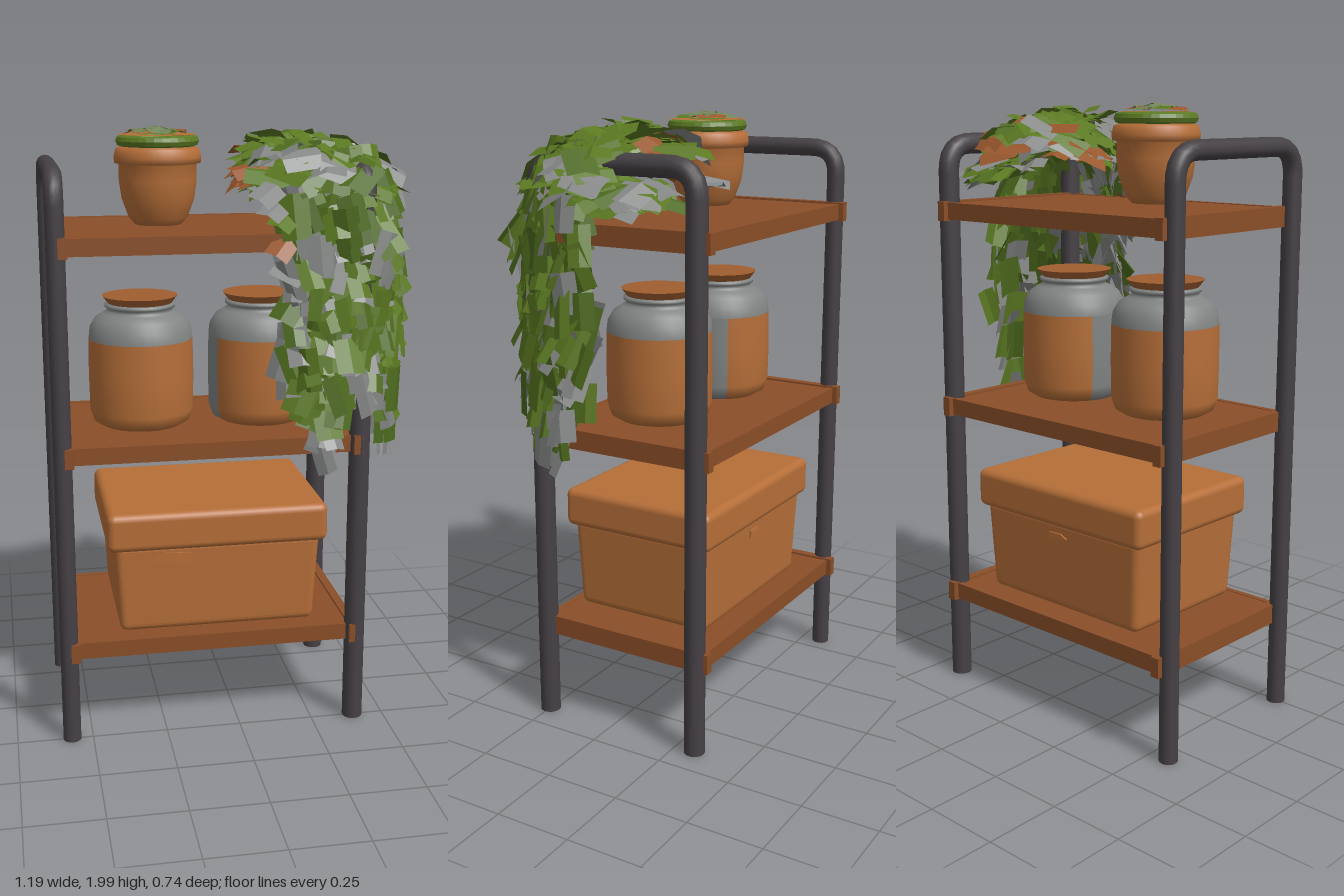
import * as THREE from 'three';
import { mergeGeometries } from 'three/addons/utils/BufferGeometryUtils.js';
import { RoundedBoxGeometry } from 'three/addons/geometries/RoundedBoxGeometry.js';

const V = (x, y, z) => new THREE.Vector3(x, y, z);
const material = (name, color, extra = {}) => {
  const m = new THREE.MeshStandardMaterial({ color, ...extra });
  m.name = name;
  return m;
};

export function createModel() {
  const root = new THREE.Group();
  root.name = 'plantShelf';
  const leafy = { flatShading: true, side: THREE.DoubleSide };
  const mat = {
    metal: material('dark metal', 0x454044),
    wood: material('brown wood', 0x8a4e28),
    clay: material('terracotta', 0xb56e38, { side: THREE.DoubleSide }),
    cork: material('jar lid brown', 0xa05e30),
    glass: material('grey glass', 0x808482, { side: THREE.DoubleSide }),
    green: material('leaf green', 0x5b7922, leafy),
    dark: material('deep green', 0x4d6a1e, leafy),
    grey: material('pale grey leaf', 0x858886, leafy),
    brown: material('dry leaf', 0x98572d, leafy),
    sage: material('sage green', 0x72865a, leafy),
  };
  const add = (name, geo, m, x = 0, y = 0, z = 0, parent = root) => {
    const mesh = new THREE.Mesh(geo, m);
    mesh.name = name;
    mesh.position.set(x, y, z);
    parent.add(mesh);
    return mesh;
  };
  const box = (name, w, h, d, m, x, y, z) => add(name, new THREE.BoxGeometry(w, h, d), m, x, y, z);
  const lathe = (pts, ...arc) => new THREE.LatheGeometry(pts.map(p => new THREE.Vector2(...p)), 32, ...arc);

  // Seeded random numbers
  let seed = 7;
  const rnd = () => (seed = (seed * 16807) % 2147483647) / 2147483647;
  const jit = (a) => (rnd() * 2 - 1) * a;

  // Bent tube frames at either end
  for (const [name, x, r] of [['leftFrame', -0.57, 0.03], ['rightFrame', 0.395, 0.034]]) {
    const f = 0.25, b = -0.32, top = 1.855, c = 0.09;
    const path = new THREE.CurvePath();
    path.add(new THREE.LineCurve3(V(x, 0, f), V(x, top - c, f)));
    path.add(new THREE.QuadraticBezierCurve3(V(x, top - c, f), V(x, top, f), V(x, top, f - c)));
    path.add(new THREE.LineCurve3(V(x, top, f - c), V(x, top, b + c)));
    path.add(new THREE.QuadraticBezierCurve3(V(x, top, b + c), V(x, top, b), V(x, top - c, b)));
    path.add(new THREE.LineCurve3(V(x, top - c, b), V(x, 0, b)));
    add(name, new THREE.TubeGeometry(path, 160, r, 14), mat.metal);
    for (const z of [f, b]) add('foot', new THREE.CylinderGeometry(r, r, 0.01, 14), mat.metal, x, 0.005, z);
  }

  // Three shelves: board, front and back lips, end rails
  for (const y of [0.318, 0.982, 1.64]) {
    box('shelfBoard', 0.95, 0.035, 0.6, mat.wood, -0.085, y + 0.008, -0.045);
    for (const z of [0.25, -0.34]) box('shelfLip', 0.95, 0.055, 0.02, mat.wood, -0.085, y, z);
    for (const x of [-0.55, 0.385]) box('shelfRail', 0.03, 0.064, 0.65, mat.wood, x, y, -0.042);
  }

  // Tapered storage box with an overhanging lid
  const body = new RoundedBoxGeometry(0.69, 0.31, 0.51, 3, 0.025);
  const p = body.attributes.position;
  for (let i = 0; i < p.count; i++) {
    const k = 0.975 + p.getY(i) * 0.16;
    p.setX(i, p.getX(i) * k);
    p.setZ(i, p.getZ(i) * k);
  }
  body.computeVertexNormals();
  add('boxBody', body, mat.clay, -0.067, 0.505, -0.035);
  add('boxLid', new RoundedBoxGeometry(0.735, 0.13, 0.55, 3, 0.025), mat.clay, -0.067, 0.705, -0.035);

  // Wedge-shaped grips on the box
  const wedge = new THREE.Shape([[-0.065, 0], [0.065, -0.028], [0.065, 0.022], [-0.02, 0.026]]
    .map(q => new THREE.Vector2(...q)));
  const grip = new THREE.ExtrudeGeometry(wedge, { depth: 0.009, bevelEnabled: false });
  add('frontGrip', grip, mat.clay, -0.223, 0.603, 0.215);
  add('backGrip', grip, mat.clay, -0.067, 0.603, -0.294).scale.set(0.6, 0.5, 1);

  // Jars: terracotta filling, clear strip on the facing sides, glass shoulder, lid
  for (const [x, strip] of [[-0.287, Math.PI / 2 + 0.22], [0.115, -Math.PI / 2]]) {
    const jar = new THREE.Group();
    jar.name = 'jar';
    jar.position.set(x, 1.005, -0.02);
    root.add(jar);
    const wall = [[0, 0.01], [0.135, 0.01], [0.16, 0.025], [0.172, 0.06], [0.174, 0.18], [0.172, 0.3]];
    const half = 0.45;
    add('jarFilling', lathe(wall, strip + half, 2 * (Math.PI - half)), mat.clay, 0, 0, 0, jar);
    add('jarClearStrip', lathe(wall, strip - half, 2 * half), mat.glass, 0, 0, 0, jar);
    add('jarShoulder', lathe([[0.172, 0.3], [0.168, 0.335], [0.15, 0.365], [0.122, 0.383], [0.108, 0.39],
      [0.108, 0.4], [0.116, 0.403], [0.116, 0.412], [0.105, 0.416]]), mat.glass, 0, 0, 0, jar);
    add('jarLid', new THREE.CylinderGeometry(0.124, 0.105, 0.025, 32), mat.cork, 0, 0.427, 0, jar);
  }

  // Small round-bottomed pot with a green collar
  add('smallPot', lathe([[0, 1.675], [0.075, 1.678], [0.095, 1.7], [0.117, 1.76], [0.125, 1.82], [0.124, 1.868],
    [0.138, 1.872], [0.14, 1.89], [0.134, 1.915], [0.115, 1.925], [0.105, 1.91], [0, 1.91]]), mat.clay, -0.225, 0, 0);
  add('potCollar', new THREE.TorusGeometry(0.115, 0.018, 8, 32).rotateX(Math.PI / 2), mat.green, -0.225, 1.94, 0);
  add('potRimTop', new THREE.RingGeometry(0.06, 0.126, 32).rotateX(-Math.PI / 2), mat.clay, -0.225, 1.96, 0);

  // Folded square leaves, collected by colour and merged
  const leaves = {};
  const leaf = (key, pos, normal, w, h, tilt, spin) => {
    const g = new THREE.PlaneGeometry(w, h, 2, 1);
    const a = g.attributes.position;
    for (let i = 0; i < a.count; i++) if (Math.abs(a.getX(i)) > 0.001) a.setZ(i, -w * 0.15);
    const o = new THREE.Object3D();
    o.position.copy(pos);
    o.lookAt(pos.clone().add(normal));
    o.rotateZ(jit(spin));
    o.rotateX(jit(tilt));
    o.rotateY(jit(tilt));
    o.updateMatrix();
    g.applyMatrix4(o.matrix);
    (leaves[key] ??= []).push(g);
  };
  const pick = (grey) => {
    const t = rnd();
    return t < grey ? 'grey' : t < grey + 0.25 ? 'dark' : 'green';
  };

  // Crown of the trailing plant, lumpy and sagging below the tube at the back
  for (let i = 0; i < 170; i++) {
    const a = i * 2.39996, r = Math.sqrt((i + 0.5) / 170);
    const x = 0.3 + Math.cos(a) * r * 0.24, z = 0.03 + Math.sin(a) * r * 0.25;
    const d = Math.hypot((x - 0.23) / 0.33, z / 0.32);
    const behind = z < -0.03 && x > 0.34;
    const dry = !behind && z < -0.07 && rnd() < 0.6;
    const y = behind ? 1.77 + jit(0.03) : 1.925 - 0.13 * d * d - (dry ? 0.02 : 0) + jit(0.045);
    leaf(dry ? 'brown' : pick(r > 0.85 ? 0.35 : 0.05), V(x, y, z), V((x - 0.25) * 1.6, 0.75, (z - 0.02) * 1.6),
      0.085 + rnd() * 0.04, 0.1 + rnd() * 0.05, behind || dry ? 0.2 : 0.4, 3);
  }
  // Tuft at the peak and leaves draped over the tube's front bend
  for (let i = 0; i < 9; i++)
    leaf(pick(0.1), V(0.14 + jit(0.06), 1.95 + jit(0.015), 0.02 + jit(0.09)), V(jit(0.3), 1, jit(0.3)), 0.08, 0.1, 0.25, 3);
  for (let i = 0; i < 8; i++)
    leaf(pick(0.1), V(0.395 + jit(0.03), 1.912 - i * 0.002, 0.03 + i * 0.026), V(0.1, 1, 0.02 + i * 0.05), 0.1, 0.1, 0.15, 3);

  // Trailing curtain around the front right corner; each point is a strand's tip
  const edge = new THREE.CatmullRomCurve3([V(0.16, 1.24, 0.25), V(0.22, 1.13, 0.27), V(0.28, 0.95, 0.28),
    V(0.36, 1.18, 0.29), V(0.44, 1.13, 0.25), V(0.49, 0.97, 0.19), V(0.51, 0.93, 0.12), V(0.505, 1.1, 0.01)]);
  const strands = 20;
  for (let s = 0; s < strands; s++) {
    const e = edge.getPoint(s / (strands - 1));
    const bottom = e.y + jit(0.04);
    const out = V(e.x - 0.3, 0, e.z - 0.02).normalize();
    const side = s < 3 || s > strands - 3;
    for (let y = 1.86 + jit(0.03); y > bottom; y -= 0.05 + rnd() * 0.025) {
      const tuck = Math.max(0, (y - 1.68) / 0.18) ** 2 * 0.07;
      const bulge = 0.025 * Math.sin((1.85 - y) * 3.2) - tuck + jit(0.025);
      const pos = V(e.x + out.x * bulge + jit(0.022), y, e.z + out.z * bulge + jit(0.022));
      const low = y < bottom + 0.13;
      leaf(pick(low ? 0.6 : side ? 0.25 : 0.12), pos, V(out.x, 0.25 + tuck * 8, out.z),
        0.06 + rnd() * 0.035, 0.1 + rnd() * 0.05, 0.4, 0.4);
    }
  }

  // Loose leaves spilling over the inner edge
  for (let i = 0; i < 16; i++)
    leaf(['brown', 'green', 'brown', 'grey'][i % 4], V(0.04 + rnd() * 0.09, 1.85 + jit(0.04), 0.05 + jit(0.14)),
      V(-0.3, 1, 0.2), 0.09, 0.12, 0.3, 3);
  for (const [x, y, z, key] of [[0.07, 1.8, 0.31, 'grey'], [0.1, 1.75, 0.28, 'grey'], [0.13, 1.64, 0.28, 'brown'],
    [0.13, 1.72, 0.29, 'green'], [0.15, 1.55, 0.27, 'grey'], [0.51, 1.76, -0.14, 'grey'], [0.5, 1.73, -0.08, 'green'],
    [0.11, 1.8, -0.21, 'grey'], [0.17, 1.79, -0.22, 'grey']])
    leaf(key, V(x, y, z), V(0, 0.8, z > 0 ? 0.6 : -0.1), 0.08, 0.11, 0.2, 1);

  // Little rosette in the small pot, sage in the middle with dry leaves outside
  for (let i = 0; i < 18; i++) {
    const a = i * 2.4, r = 0.076 * Math.sqrt(i / 18);
    const key = i < 10 ? 'sage' : ['green', 'brown', 'brown', 'sage'][i % 4];
    leaf(key, V(-0.225 + Math.cos(a) * r, 1.985 - r * 0.16, Math.sin(a) * r),
      V(Math.cos(a) * 0.05, 1, Math.sin(a) * 0.05), 0.055, 0.06, 0.06, 3);
  }

  const names = { green: 'greenLeaves', dark: 'deepGreenLeaves', grey: 'greyLeaves', brown: 'dryLeaves', sage: 'rosette' };
  for (const key in leaves) add(names[key], mergeGeometries(leaves[key]), mat[key]);
  return root;
}
